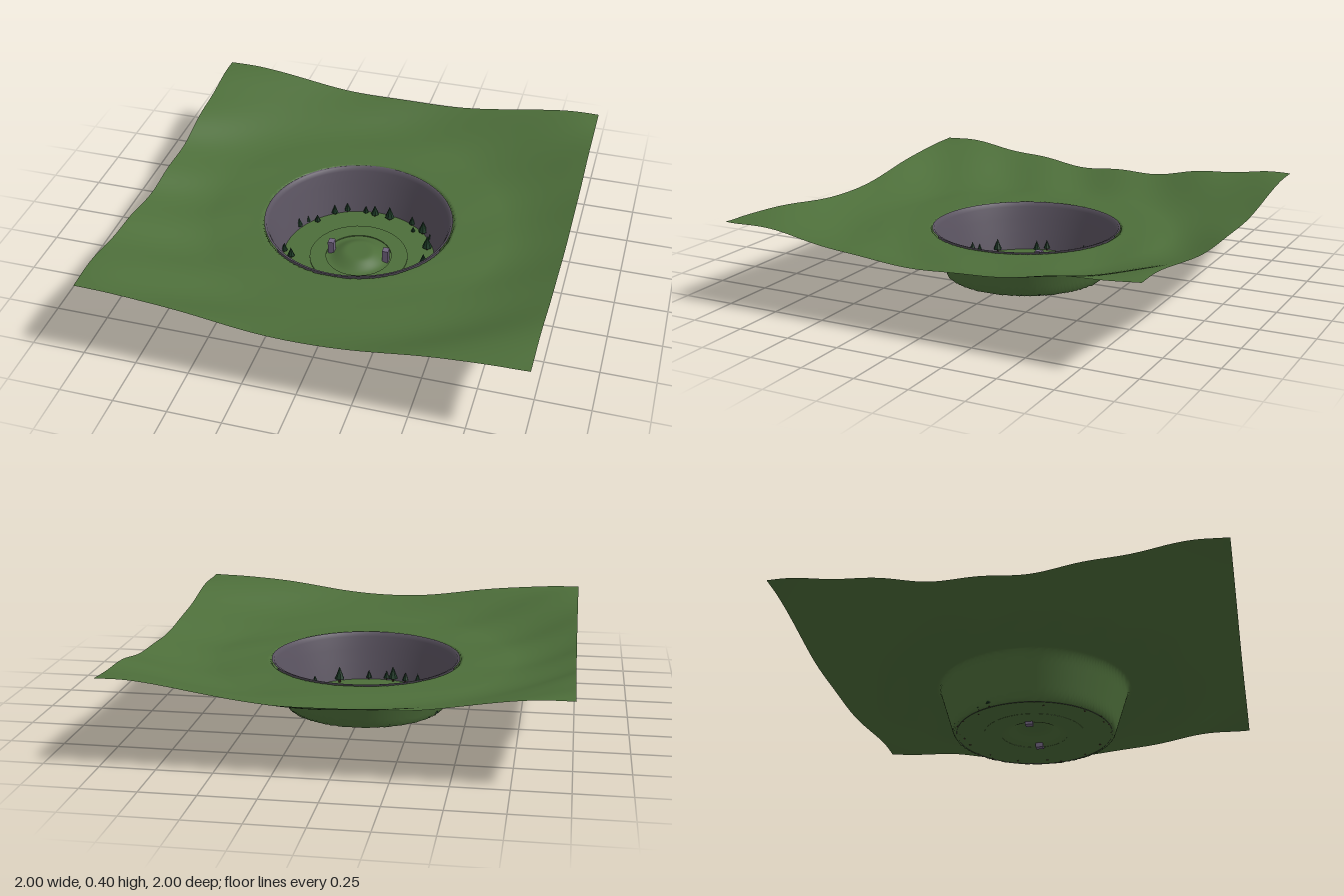
import * as THREE from 'three';

const mat = (name, color, extra = {}) =>
  Object.assign(new THREE.MeshStandardMaterial({ color, ...extra }), { name });

const smooth = (a, b, v) => THREE.MathUtils.smoothstep(v, a, b);

// Ground height: flat pit with a central mound, rolling land, raised corners
function groundHeight(x, z) {
  const r = Math.hypot(x, z);
  const floor = 0.014 + 0.035 * (1 - smooth(0.06, 0.15, r));
  const p = 0.45 * x + 0.9 * z;
  const ripple = -0.008 * Math.sin(15.7 * p) * (0.65 + 0.35 * Math.sin(5 * x - 2 * z));
  const land = 0.24 + 0.15 * smooth(0.7, 1.35, r) + ripple * smooth(0.45, 0.75, r);
  const side = THREE.MathUtils.clamp((r - 0.385) / 0.07, 0, 1);
  return THREE.MathUtils.lerp(floor, land, side);
}

export function createModel() {
  const model = new THREE.Group();
  model.name = 'sunkenValley';

  const grass = mat('grass green', 0x4d6e3a, { side: THREE.DoubleSide });
  const rock = mat('cliff purple grey', 0x59525f, { side: THREE.DoubleSide });
  const pine = mat('pine green', 0x1c3a26, { flatShading: true });
  const bark = mat('bark brown', 0x3b2a1e);
  const stone = mat('pillar purple', 0x716480);

  const add = (parent, name, geometry, material, x = 0, y = 0, z = 0) => {
    const mesh = new THREE.Mesh(geometry, material);
    mesh.name = name;
    mesh.position.set(x, y, z);
    parent.add(mesh);
    return mesh;
  };

  // Terrain sheet
  const sheet = new THREE.PlaneGeometry(2, 2, 180, 180).rotateX(-Math.PI / 2);
  const pos = sheet.attributes.position;
  for (let i = 0; i < pos.count; i++) pos.setY(i, groundHeight(pos.getX(i), pos.getZ(i)));
  sheet.computeVertexNormals();
  add(model, 'terrain', sheet, grass);

  // Rock wall lining the pit
  const profile = [[0.37, 0.012], [0.378, 0.04], [0.395, 0.1], [0.415, 0.165], [0.432, 0.222], [0.441, 0.242], [0.452, 0.243]]
    .map(([r, y]) => new THREE.Vector2(r, y));
  add(model, 'cliffWall', new THREE.LatheGeometry(profile, 96), rock);

  // Low terrace around the mound
  const terrace = new THREE.Shape().absarc(0, 0, 0.24, 0, Math.PI * 2);
  terrace.holes.push(new THREE.Path().absarc(0, 0, 0.16, 0, Math.PI * 2, true));
  const terraceGeo = new THREE.ExtrudeGeometry(terrace, { depth: 0.006, bevelEnabled: false, curveSegments: 20 });
  add(model, 'terrace', terraceGeo.rotateX(-Math.PI / 2), grass, 0, 0.013, 0);

  // Pair of standing stones beside the mound
  for (const s of [-1, 1])
    add(model, 'standingStone', new THREE.BoxGeometry(0.03, 0.08, 0.035), stone, s * 0.137, 0.04, 0);

  // Pines around the foot of the wall: x, z, crown radius
  const trees = [
    [-0.06, -0.35, 0.014], [-0.01, -0.34, 0.02], [0.07, -0.33, 0.024], [0.19, -0.315, 0.016],
    [0.21, -0.26, 0.011], [0.26, -0.26, 0.023], [0.305, -0.22, 0.011], [0.31, -0.14, 0.024],
    [0.325, 0.005, 0.025], [0.353, 0.07, 0.024], [0.29, 0.2, 0.018], [0.18, 0.29, 0.025],
    [0.04, 0.36, 0.015], [-0.05, 0.365, 0.015], [-0.085, 0.345, 0.024], [-0.15, 0.34, 0.016],
    [-0.22, 0.275, 0.021], [-0.315, 0.1, 0.018], [-0.36, 0.065, 0.016], [-0.35, -0.145, 0.017],
    [-0.32, -0.2, 0.012], [-0.275, -0.21, 0.015], [-0.21, -0.3, 0.018], [-0.155, -0.34, 0.016],
  ];
  trees.forEach(([x, z, r], i) => {
    const tree = new THREE.Group();
    tree.name = 'pineTree';
    tree.position.set(x, 0.012, z);
    tree.rotation.y = i * 1.3;
    add(tree, 'trunk', new THREE.CylinderGeometry(r * 0.2, r * 0.25, r, 6), bark, 0, r * 0.5, 0);
    add(tree, 'crown', new THREE.ConeGeometry(r, r * 2.6, 7), pine, 0, r * 2.1, 0);
    model.add(tree);
  });

  return model;
}
